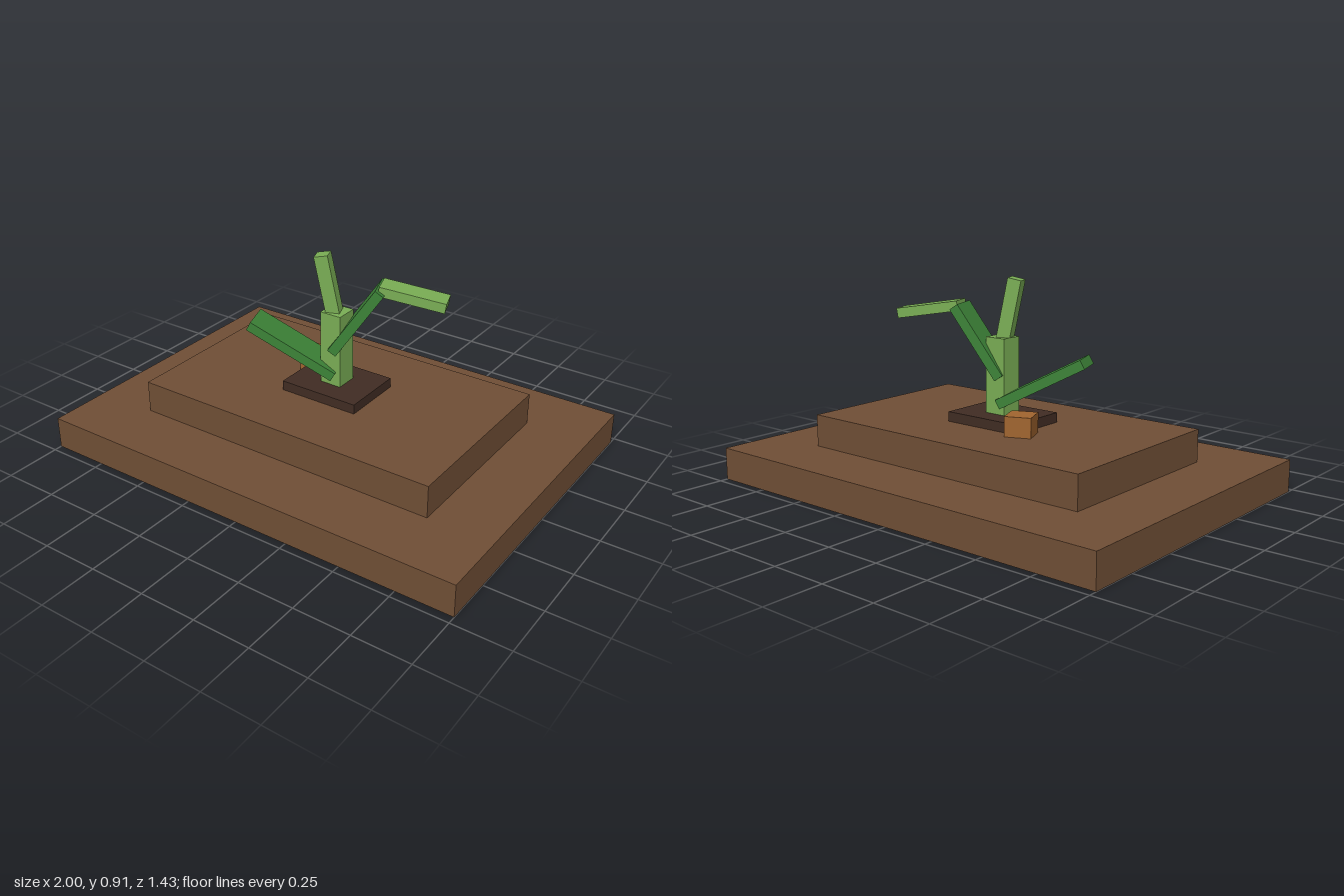
import * as THREE from 'three';

const mat = (name, color) => {
  const m = new THREE.MeshStandardMaterial({ color });
  m.name = name;
  return m;
};

export function createModel() {
  const earth = mat('earth brown', 0x6f4e35);
  const soil = mat('dark soil', 0x402c23);
  const clay = mat('orange brown', 0xa0642f);
  const lightGreen = mat('light green', 0x79ad54);
  const darkGreen = mat('dark green', 0x3c8237);

  const model = new THREE.Group();
  model.name = 'sproutOnSteppedBase';

  const box = (parent, name, material, size, pos) => {
    const mesh = new THREE.Mesh(new THREE.BoxGeometry(...size), material);
    mesh.name = name;
    mesh.position.set(...pos);
    parent.add(mesh);
    return mesh;
  };

  // Stepped ground
  box(model, 'lowerStep', earth, [2, 0.143, 1.428], [0, 0.0715, 0]);
  box(model, 'upperStep', earth, [1.428, 0.143, 0.857], [0, 0.2145, 0]);
  box(model, 'soilPatch', soil, [0.37, 0.043, 0.286], [0, 0.3075, 0]);

  // Small block lying beside the soil
  const block = box(model, 'block', clay, [0.114, 0.086, 0.114], [-0.2, 0.329, -0.12]);
  block.rotation.y = 0.4;

  // Stem
  box(model, 'stem', lightGreen, [0.1, 0.33, 0.1], [0, 0.494, 0]);

  // Shoot and leaves share one plane, turned about the stem
  const foliage = new THREE.Group();
  foliage.name = 'foliage';
  foliage.rotation.y = THREE.MathUtils.degToRad(20);
  model.add(foliage);

  // Bar between two points of that plane
  const bar = (name, material, [x0, y0], [x1, y1], thickness, width) => {
    const length = Math.hypot(x1 - x0, y1 - y0);
    const mesh = box(foliage, name, material, [length, thickness, width],
      [(x0 + x1) / 2, (y0 + y1) / 2, 0]);
    mesh.rotation.z = Math.atan2(y1 - y0, x1 - x0);
  };
  bar('topShoot', lightGreen, [-0.005, 0.625], [-0.062, 0.908], 0.06, 0.06);
  bar('rightLeaf', darkGreen, [0, 0.376], [-0.372, 0.573], 0.043, 0.143);
  bar('leftLeaf', darkGreen, [-0.006, 0.49], [0.196, 0.785], 0.043, 0.143);
  bar('leftLeafTip', lightGreen, [0.187, 0.787], [0.467, 0.742], 0.043, 0.1);

  return model;
}
